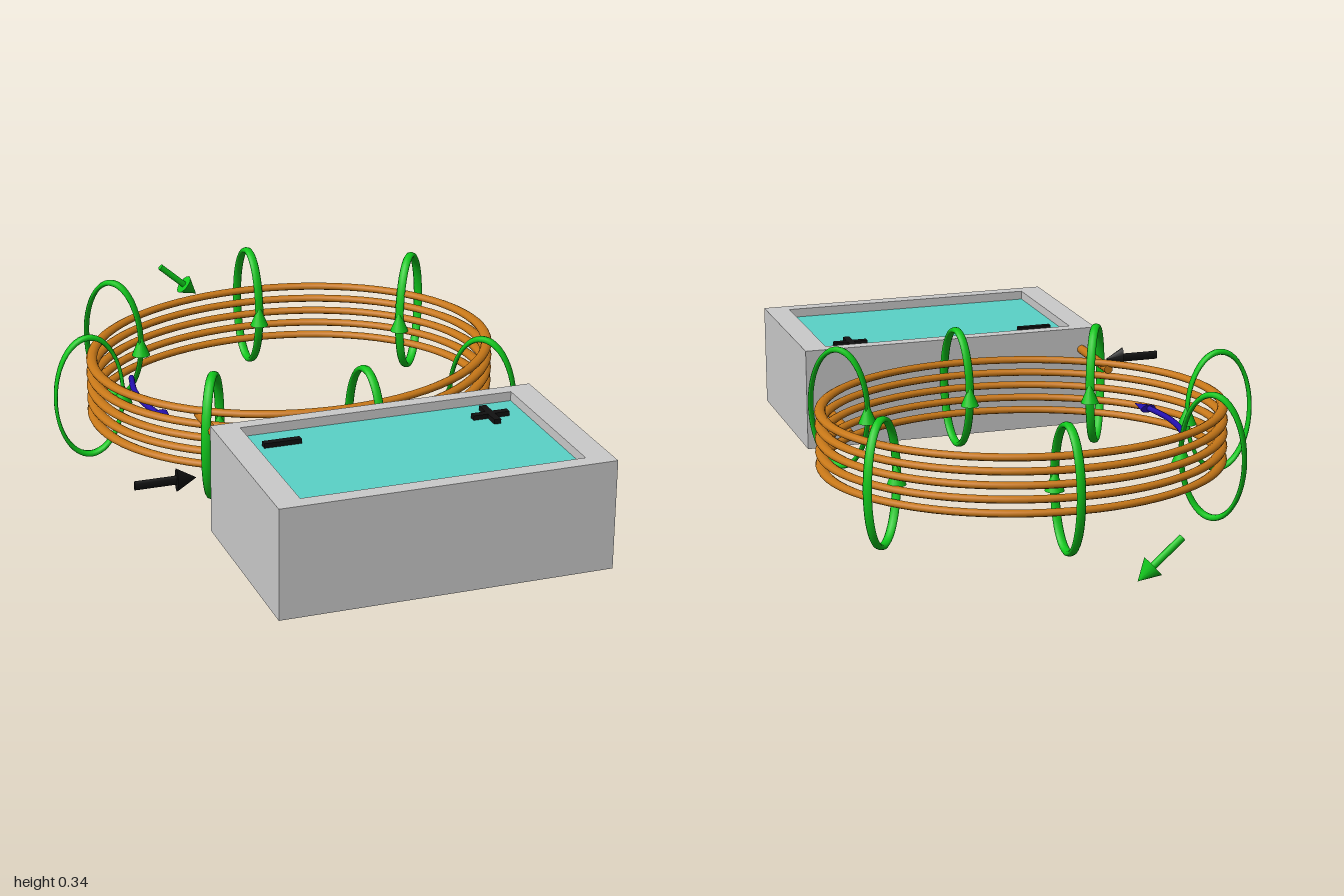
import * as THREE from 'three';

const mat = (color) => new THREE.MeshStandardMaterial({ color });
const grey = mat(0xcccccc);
const teal = mat(0x5ad2c8);
const copper = mat(0xc87818);
const green = mat(0x10c81c);
const blue = mat(0x2410b0);
const black = mat(0x111111);

function add(parent, name, geometry, material, x = 0, y = 0, z = 0) {
  const mesh = new THREE.Mesh(geometry, material);
  mesh.name = name;
  mesh.position.set(x, y, z);
  parent.add(mesh);
  return mesh;
}

// Straight arrow along local +x, starting at the origin
function makeArrow(name, material, length, shaftRadius, headRadius, headLength) {
  const arrow = new THREE.Group();
  arrow.name = name;
  const shaft = new THREE.CylinderGeometry(shaftRadius, shaftRadius, length - headLength, 12);
  shaft.rotateZ(-Math.PI / 2);
  add(arrow, name + 'Shaft', shaft, material, (length - headLength) / 2);
  const head = new THREE.ConeGeometry(headRadius, headLength, 16);
  head.rotateZ(-Math.PI / 2);
  add(arrow, name + 'Head', head, material, length - headLength / 2);
  return arrow;
}

// Supply box: solid base, raised frame around a recessed panel, polarity bars
function makeSupply() {
  const supply = new THREE.Group();
  supply.name = 'supplyBox';
  const [x0, x1, z0, z1] = [-0.35, 0.49, 0.49, 1.0];
  const [px0, px1, pz0, pz1] = [-0.285, 0.425, 0.525, 0.96];
  const floor = 0.25;
  const cx = (x0 + x1) / 2, cz = (z0 + z1) / 2;
  add(supply, 'supplyBase', new THREE.BoxGeometry(x1 - x0, floor, z1 - z0), grey, cx, floor / 2, cz);

  const outline = new THREE.Shape();
  outline.moveTo(x0, -z1).lineTo(x1, -z1).lineTo(x1, -z0).lineTo(x0, -z0).closePath();
  const opening = new THREE.Path();
  opening.moveTo(px0, -pz1).lineTo(px0, -pz0).lineTo(px1, -pz0).lineTo(px1, -pz1).closePath();
  outline.holes.push(opening);
  const frame = new THREE.ExtrudeGeometry(outline, { depth: 0.03, bevelEnabled: false });
  frame.rotateX(-Math.PI / 2);
  add(supply, 'supplyFrame', frame, grey, 0, floor, 0);

  add(supply, 'panel', new THREE.BoxGeometry(px1 - px0, 0.006, pz1 - pz0), teal,
    (px0 + px1) / 2, floor + 0.003, (pz0 + pz1) / 2);
  const bar = new THREE.BoxGeometry(0.095, 0.014, 0.018);
  add(supply, 'negativeBar', bar, black, -0.205, floor + 0.011, 0.602);
  add(supply, 'positiveBar', bar, black, 0.335, floor + 0.011, 0.605);
  add(supply, 'positiveCrossBar', bar, black, 0.335, floor + 0.011, 0.605).rotation.y = Math.PI / 2;
  return supply;
}

// Coil: five slightly tilted oval turns and two leads into the supply box
function makeCoil() {
  const coil = new THREE.Group();
  coil.name = 'coil';
  const turn = new THREE.TorusGeometry(0.53, 0.0145, 10, 72);
  turn.rotateX(Math.PI / 2);
  turn.scale(1, 0.66, 0.855);
  turn.rotateZ(0.014);
  for (let i = 0; i < 5; i++) add(coil, 'coilTurn', turn, copper, 0.045, 0.0925 + 0.036 * i, -0.057);

  const lead = new THREE.CylinderGeometry(0.0125, 0.0125, 0.24, 10);
  lead.rotateX(Math.PI / 2);
  add(coil, 'leftLead', lead, copper, 0.425, 0.1, 0.385);
  add(coil, 'rightLead', lead, copper, -0.31, 0.218, 0.385);
  return coil;
}

// Field loops: flat oval bands round the winding, arrowhead up on the inner side
function makeFieldLoops() {
  const loops = new THREE.Group();
  loops.name = 'fieldLoops';
  const band = new THREE.TorusGeometry(0.09, 0.0045, 8, 48);
  band.scale(1, 1.8, 2.7);
  const head = new THREE.ConeGeometry(0.025, 0.06, 16);
  // Outer x, z and inner x, z of each loop
  const places = [
    [0.093, -0.655, 0.1, -0.478],
    [0.568, -0.45, 0.455, -0.308],
    [0.51, 0.355, 0.388, 0.228],
    [0.1, 0.475, 0.08, 0.3],
    [-0.327, 0.38, -0.242, 0.226],
    [-0.598, -0.05, -0.418, -0.05],
    [-0.395, -0.5, -0.278, -0.363],
  ];
  for (const [ox, oz, ix, iz] of places) {
    const loop = new THREE.Group();
    loop.name = 'fieldLoop';
    loop.position.set((ox + ix) / 2, 0.17, (oz + iz) / 2);
    loop.rotation.y = Math.atan2(oz - iz, ix - ox);
    add(loop, 'loopBand', band, green);
    add(loop, 'loopArrowhead', head, green, 0.089, 0, 0);
    loops.add(loop);
  }
  return loops;
}

// Curved arrow inside the coil showing the current direction
function makeCurrentArrow() {
  const arrow = new THREE.Group();
  arrow.name = 'currentArrow';
  const path = new THREE.CatmullRomCurve3([
    [-0.358, -0.18], [-0.374, -0.1], [-0.377, -0.02], [-0.366, 0.06], [-0.358, 0.09],
  ].map(([x, z]) => new THREE.Vector3(x, 0.152, z)));
  add(arrow, 'currentArrowShaft', new THREE.TubeGeometry(path, 24, 0.008, 8), blue);
  const cap = new THREE.SphereGeometry(0.008, 8, 6);
  add(arrow, 'currentArrowTail', cap, blue, -0.358, 0.152, -0.18);
  const head = new THREE.ConeGeometry(0.024, 0.065, 16);
  head.rotateX(Math.PI / 2);
  head.scale(1, 0.45, 1);
  add(arrow, 'currentArrowHead', head, blue, -0.35, 0.152, 0.112).rotation.y = 0.25;
  return arrow;
}

export function createModel() {
  const model = new THREE.Group();
  model.name = 'coilAndSupply';
  model.add(makeSupply(), makeCoil(), makeFieldLoops(), makeCurrentArrow());

  // Field arrow behind the coil, sloping down to the left
  const fieldArrow = makeArrow('fieldArrow', green, 0.145, 0.009, 0.029, 0.05);
  fieldArrow.position.set(-0.043, 0.165, -0.97);
  fieldArrow.rotation.z = -0.72;
  model.add(fieldArrow);

  // Voltage arrow beside the supply box
  const voltageArrow = makeArrow('voltageArrow', black, 0.155, 0.012, 0.03, 0.05);
  voltageArrow.position.set(-0.555, 0.17, 0.535);
  voltageArrow.scale.z = 0.5;
  model.add(voltageArrow);
  return model;
}
